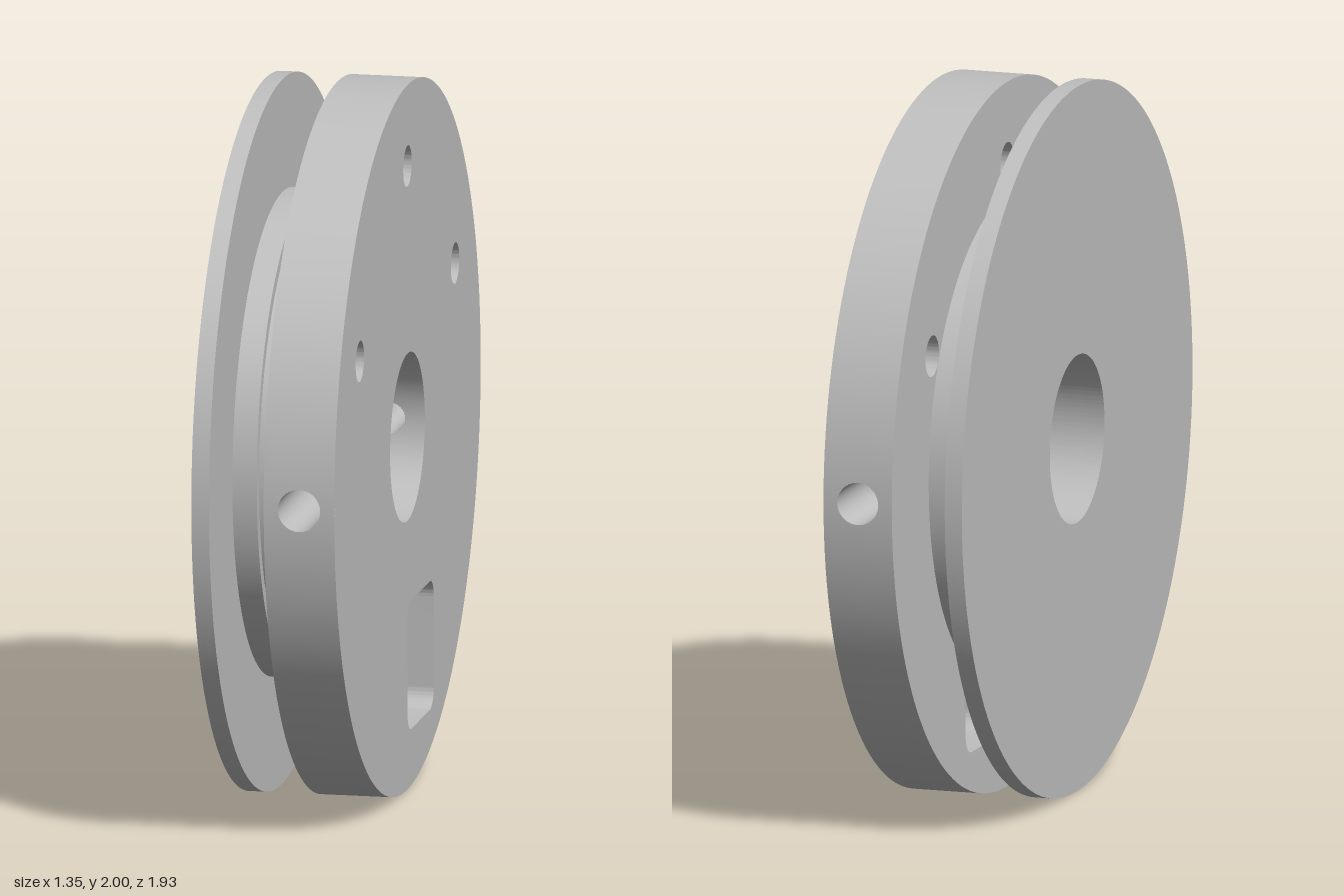
import * as THREE from 'three';
import { mergeGeometries, toCreasedNormals } from 'three/addons/utils/BufferGeometryUtils.js';

const SEG = 128;
const BORE = 0.2375;
const HUB = 0.68;
const FRONT = 0.2;        // the thick disc spans z = 0 to FRONT
const MID = FRONT / 2;    // height of the radial screw holes

// Local frame: wheel axis along z, screw holes along x.
const circle = (r, x = 0, y = 0) => new THREE.Shape().absarc(x, y, r, 0, Math.PI * 2, false);

// Rounded window below the bore
function windowShape() {
  const x0 = 0, x1 = 0.36, y0 = -0.84, y1 = -0.475, r = 0.055;
  const s = new THREE.Shape();
  s.absarc(x1 - r, y0 + r, r, -Math.PI / 2, 0, false);
  s.absarc(x1 - r, y1 - r, r, 0, Math.PI / 2, false);
  s.absarc(x0 + r, y1 - r, r, Math.PI / 2, Math.PI, false);
  s.absarc(x0 + r, y0 + r, r, Math.PI, Math.PI * 1.5, false);
  s.closePath();
  return s;
}

// Hub outline: a circle with the window cut into its lower edge
function hubShape(r) {
  const c = 0.055, top = -0.475, w = 0.36;
  const s = new THREE.Shape();
  s.absarc(0, 0, r, -Math.acos(w / r), Math.PI * 1.5, false);
  s.lineTo(0, top - c);
  s.absarc(c, top - c, c, Math.PI, Math.PI / 2, true);
  s.absarc(w - c, top - c, c, Math.PI / 2, 0, true);
  s.closePath();
  s.holes.push(circle(BORE));
  return s;
}

// Turn a surface inside out
function flip(geo) {
  const g = geo.index ? geo.toNonIndexed() : geo.clone();
  const p = g.attributes.position.clone(), n = g.attributes.normal.clone();
  for (let i = 0, last = p.count - 1; i <= last; i++) {
    g.attributes.position.setXYZ(i, p.getX(last - i), p.getY(last - i), p.getZ(last - i));
    g.attributes.normal.setXYZ(i, -n.getX(last - i), -n.getY(last - i), -n.getZ(last - i));
  }
  return g;
}

function slab(shape, z0, z1) {
  const g = new THREE.ExtrudeGeometry(shape, { depth: z1 - z0, bevelEnabled: false, curveSegments: SEG });
  return toCreasedNormals(g.translate(0, 0, z0), 0.5);
}

// Inner wall of a straight hole
function holeWall(shape, z0, z1) {
  const e = new THREE.ExtrudeGeometry(shape, { depth: z1 - z0, bevelEnabled: false, curveSegments: 32 });
  const { start, count } = e.groups[1];
  const g = new THREE.BufferGeometry();
  g.setAttribute('position', new THREE.BufferAttribute(
    e.attributes.position.array.slice(start * 3, (start + count) * 3), 3));
  g.computeVertexNormals();
  return toCreasedNormals(flip(g.translate(0, 0, z0)), 0.5);
}

// Cylinder wall of the thick disc, pierced by a round hole on both sides
function piercedWall(R, holeR) {
  const a = Math.asin(MID / R), parts = [];
  for (const side of [0, 1]) {
    parts.push(new THREE.CylinderGeometry(R, R, FRONT, SEG / 2, 1, true,
      Math.PI * (side + 0.5) + a, Math.PI - 2 * a).rotateX(Math.PI / 2).translate(0, 0, MID));
    // square patch around the hole, bent onto the cylinder
    const patch = new THREE.RingGeometry(holeR, MID, 64, 4);
    const p = patch.attributes.position, n = patch.attributes.normal;
    for (let i = 0; i < p.count; i++) {
      const u = p.getX(i), v = p.getY(i), rho = Math.hypot(u, v);
      const f = (rho - holeR) / (MID - holeR);
      const k = 1 + f * (rho / Math.max(Math.abs(u), Math.abs(v)) - 1);
      const y = u * k, x = Math.sqrt(R * R - y * y);
      p.setXYZ(i, x, y, MID + v * k);
      n.setXYZ(i, x / R, y / R, 0);
    }
    parts.push(patch.rotateZ(Math.PI * side));
  }
  return mergeGeometries(parts);
}

// Radial tube whose open end follows the cylinder of radius R
function radialTube(r, R, xStep) {
  const x0 = Math.min(R, xStep), x1 = Math.max(R, xStep);
  const g = new THREE.CylinderGeometry(r, r, x1 - x0, 64, 1, true)
    .rotateZ(-Math.PI / 2).translate((x0 + x1) / 2, 0, 0);
  const p = g.attributes.position;
  for (let i = 0; i < p.count; i++) {
    if (Math.abs(p.getX(i) - R) < 1e-4) p.setX(i, Math.sqrt(R * R - p.getY(i) ** 2));
  }
  return flip(g.translate(0, 0, MID));
}

export function createModel() {
  const grey = new THREE.MeshStandardMaterial({ color: 0xbfbfbf });
  grey.name = 'plain grey';
  const model = new THREE.Group();
  model.name = 'grooved wheel';
  const wheel = new THREE.Group();
  wheel.name = 'wheel';
  wheel.position.y = 1;
  wheel.rotation.y = Math.PI / 3;
  model.add(wheel);
  const add = (name, geo) => {
    const m = new THREE.Mesh(geo, grey);
    m.name = name;
    wheel.add(m);
    return m;
  };

  // Thick disc faces
  const bolts = [[0, 0.77], [-0.65, 0.355], [0.65, 0.355]].map(([x, y]) => circle(0.058, x, y));
  const face = circle(1);
  face.holes.push(circle(BORE), windowShape(), ...bolts);
  add('thickDiscFront', new THREE.ShapeGeometry(face, SEG).translate(0, 0, FRONT));
  add('thickDiscBack', flip(new THREE.ShapeGeometry(face, SEG)));

  // Thick disc walls
  add('thickDiscRim', piercedWall(1, 0.06));
  add('thickDiscBore', flip(piercedWall(BORE, 0.044)));
  add('windowWall', holeWall(windowShape(), 0, FRONT));
  bolts.forEach((b) => add('boltHole', holeWall(b, 0, FRONT)));

  // Stepped screw holes from rim to bore
  const step = 0.5;
  for (const turn of [0, Math.PI]) {
    const parts = {
      screwHoleOuter: radialTube(0.06, 1, step),
      screwHoleInner: radialTube(0.044, BORE, step),
      screwHoleStep: new THREE.RingGeometry(0.044, 0.06, 64).rotateY(Math.PI / 2).translate(step, 0, MID),
    };
    for (const [name, geo] of Object.entries(parts)) add(name, geo.rotateZ(turn));
  }

  // Hub with a narrow cord groove
  add('hubBack', slab(hubShape(HUB), -0.155, -0.086));
  add('hubGroove', slab(hubShape(0.648), -0.086, -0.054));
  add('hubFront', slab(hubShape(HUB), -0.054, 0));

  // Thin disc with a shallow pocket behind the window
  const plain = circle(1);
  plain.holes.push(circle(BORE));
  const pocketed = circle(1);
  pocketed.holes.push(circle(BORE), windowShape());
  add('thinDiscBack', slab(plain, -0.205, -0.18));
  add('thinDiscFront', slab(pocketed, -0.18, -0.155));

  return model;
}
